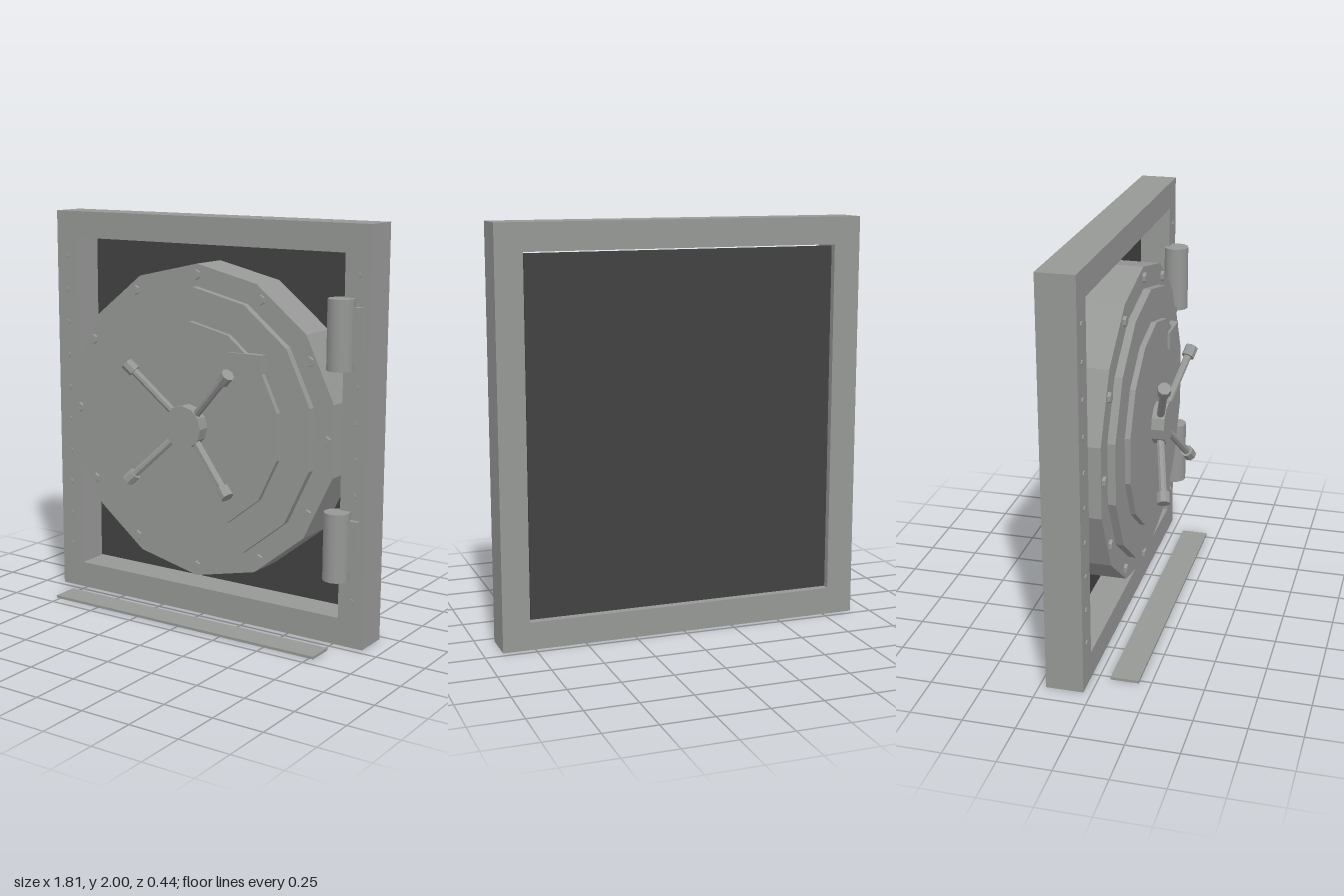
import * as THREE from 'three';

export function createModel() {
  const root = new THREE.Group();
  root.name = 'vaultDoor';

  const steel = new THREE.MeshStandardMaterial({ color: 0x969896 });
  steel.name = 'steel grey';
  const dark = new THREE.MeshStandardMaterial({ color: 0x424242 });
  dark.name = 'dark backing';

  const add = (name, geometry, material = steel, parent = root) => {
    const mesh = new THREE.Mesh(geometry, material);
    mesh.name = name;
    parent.add(mesh);
    return mesh;
  };
  // Box given by its extents on each axis
  const box = (name, [x0, x1], [y0, y1], [z0, z1], material, parent) => {
    const mesh = add(name, new THREE.BoxGeometry(x1 - x0, y1 - y0, z1 - z0), material, parent);
    mesh.position.set((x0 + x1) / 2, (y0 + y1) / 2, (z0 + z1) / 2);
    return mesh;
  };
  // Faceted disc facing the front, with a corner at the top
  const disc = (name, r, sides, x, y, z0, z1, parent) => {
    const g = new THREE.CylinderGeometry(r, r, z1 - z0, sides).toNonIndexed();
    g.rotateX(Math.PI / 2);
    g.rotateZ(sides % 2 ? Math.PI : 0);
    g.computeVertexNormals();
    const mesh = add(name, g, steel, parent);
    mesh.position.set(x, y, (z0 + z1) / 2);
    return mesh;
  };
  // Faceted rod between two points
  const rod = (name, a, b, r, sides, parent) => {
    const dir = b.clone().sub(a);
    const g = new THREE.CylinderGeometry(r, r, dir.length(), sides).toNonIndexed();
    g.computeVertexNormals();
    const mesh = add(name, g, steel, parent);
    mesh.position.copy(a).add(b).multiplyScalar(0.5);
    mesh.quaternion.setFromUnitVectors(new THREE.Vector3(0, 1, 0), dir.normalize());
    return mesh;
  };
  const rect = (target, x, y0, y1) => {
    target.moveTo(-x, y0);
    target.lineTo(x, y0);
    target.lineTo(x, y1);
    target.lineTo(-x, y1);
    target.closePath();
    return target;
  };

  // Surrounding frame with a rectangular opening
  const outline = rect(new THREE.Shape(), 0.907, 0, 2);
  outline.holes.push(rect(new THREE.Path(), 0.774, 0.135, 1.867));
  add('frame', new THREE.ExtrudeGeometry(outline, { depth: 0.18, bevelEnabled: false }))
    .position.z = -0.217;

  // Dark panel closing the back of the opening
  box('backPanel', [-0.767, 0.767], [0.142, 1.86], [-0.197, -0.189], dark);

  // Rivets down both frame stiles
  const rivets = new THREE.Group();
  rivets.name = 'frameRivets';
  root.add(rivets);
  for (const side of [-1, 1]) {
    for (let i = 0; i < 10; i++) {
      disc('frameRivet', 0.014, 8, side * 0.845, 0.23 + i * 0.171, -0.04, -0.031, rivets);
    }
  }

  // Stepped round door
  const door = new THREE.Group();
  door.name = 'door';
  root.add(door);
  disc('doorFlange', 0.78, 14, 0, 1, -0.189, 0.018, door);
  disc('doorMiddleStep', 0.672, 14, 0, 1, 0.018, 0.056, door);
  disc('doorInnerStep', 0.509, 14, 0, 1, 0.056, 0.083, door);

  // Ring of hexagonal bolts on the flange
  for (let i = 0; i < 12; i++) {
    const a = (i * Math.PI) / 6;
    disc('doorBolt', 0.025, 6, 0.728 * Math.sin(a), 1 + 0.728 * Math.cos(a), 0.016, 0.034, door);
  }

  // Small plate on the door face
  box('doorPlate', [0.235, 0.415], [1.293, 1.382], [0.056, 0.095], steel, door);

  // Four-spoke handle
  const handle = new THREE.Group();
  handle.name = 'handle';
  root.add(handle);
  disc('handleHub', 0.106, 12, 0, 1, 0.08, 0.147, handle);
  for (const sx of [-1, 1]) {
    for (const sy of [-1, 1]) {
      const at = (d, z) => new THREE.Vector3(sx * d, 1 + sy * d, z);
      rod('handleSpoke', at(0.045, 0.115), at(0.27, 0.185), 0.019, 8, handle);
      rod('handleKnob', at(0.256, 0.181), at(0.295, 0.193), 0.032, 8, handle);
    }
  }

  // Hinges: barrel plus mounting leaf
  for (const y of [0.502, 1.5]) {
    const hinge = new THREE.Group();
    hinge.name = 'hinge';
    root.add(hinge);
    add('hingeBarrel', new THREE.CylinderGeometry(0.063, 0.063, 0.33, 12), steel, hinge)
      .position.set(0.778, y, 0);
    box('hingeLeaf', [0.78, 0.88], [y - 0.126, y + 0.126], [-0.04, -0.01], steel, hinge);
  }

  // Threshold strip on the ground in front
  box('threshold', [-0.772, 0.772], [0, 0.013], [0.056, 0.192]);

  return root;
}
